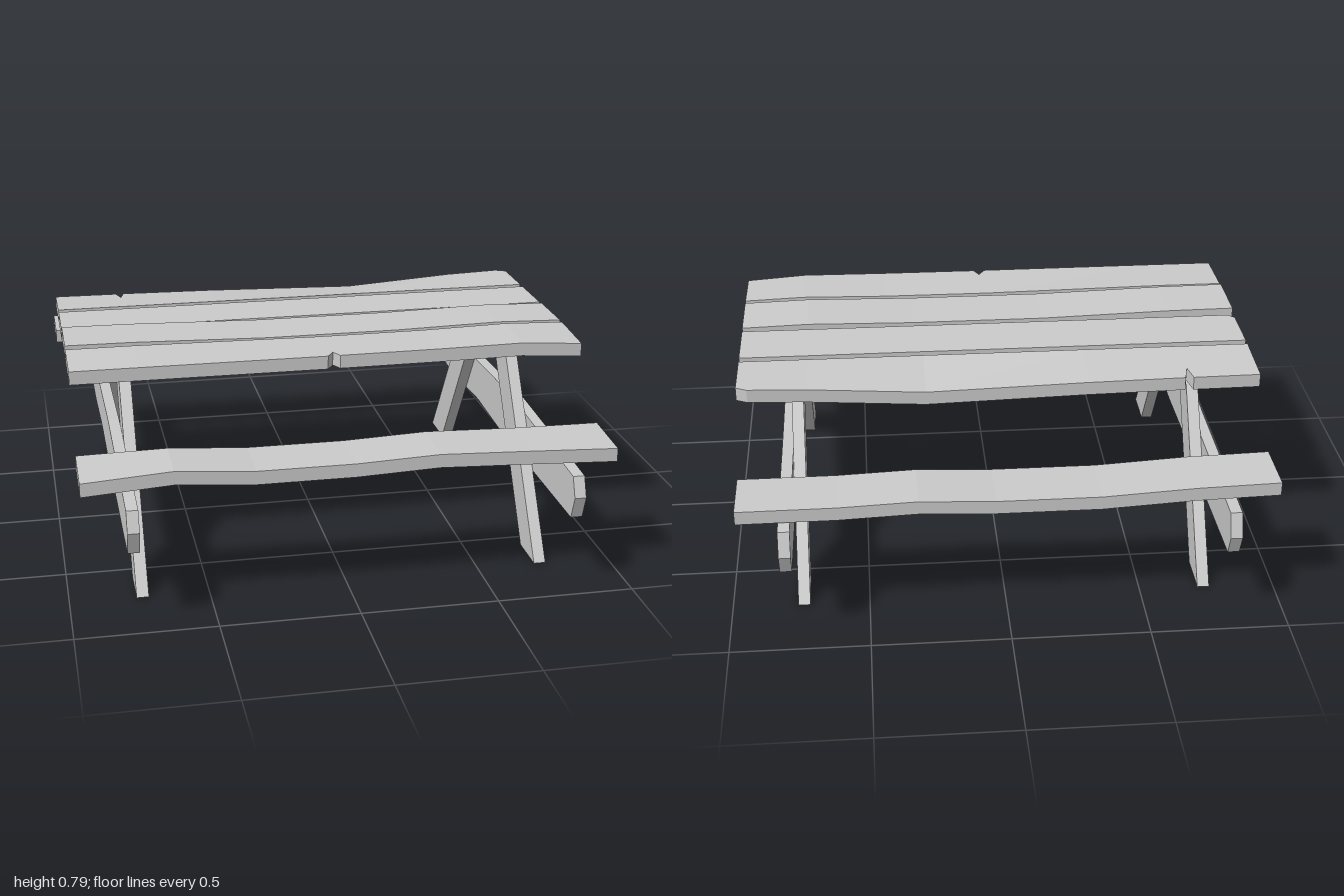
import * as THREE from 'three';

const material = new THREE.MeshStandardMaterial({ color: 0xcccccc, flatShading: true });

function addMesh(group, geometry, name) {
  const mesh = new THREE.Mesh(geometry, material);
  mesh.name = name;
  group.add(mesh);
  return mesh;
}

// Warped plank lofted along x through rectangular stations.
// Station: [x, bottom y at front, bottom y at back, front edge cut, back edge cut]
function plank(zBack, zFront, thickness, stations) {
  const at = (zCut, yf, yb) => yb + (yf - yb) * (zCut - zBack) / (zFront - zBack);
  const rings = stations.map(([x, yf, yb, cutF = 0, cutB = 0]) => {
    const zf = zFront - cutF, zb = zBack + cutB;
    const f = at(zf, yf, yb), b = at(zb, yf, yb);
    return [[x, f, zf], [x, f + thickness, zf], [x, b + thickness, zb], [x, b, zb]];
  });
  const pos = [];
  const quad = (a, b, c, d) => [a, b, c, a, c, d].forEach((p) => pos.push(...p));
  for (let i = 0; i < rings.length - 1; i++) {
    const r = rings[i], s = rings[i + 1];
    for (let k = 0; k < 4; k++) {
      const n = (k + 1) % 4;
      quad(r[k], s[k], s[n], r[n]);
    }
  }
  const first = rings[0], last = rings[rings.length - 1];
  quad(first[3], first[0], first[1], first[2]);
  quad(last[0], last[3], last[2], last[1]);
  const geometry = new THREE.BufferGeometry();
  geometry.setAttribute('position', new THREE.Float32BufferAttribute(pos, 3));
  geometry.computeVertexNormals();
  return geometry;
}

// Board cut from a side outline of [z, y] points, running from x0 to x0 + width
function sideBoard(points, x0, width) {
  const shape = new THREE.Shape(points.map(([z, y]) => new THREE.Vector2(-z, y)));
  const geometry = new THREE.ExtrudeGeometry(shape, { depth: width, bevelEnabled: false });
  geometry.rotateY(Math.PI / 2);
  return geometry.translate(x0, 0, 0);
}

export function createModel() {
  const group = new THREE.Group();
  group.name = 'picnicTable';

  // Table top, back to front; the outer planks have a split in the edge
  const top = new THREE.Group();
  top.name = 'tableTop';
  group.add(top);
  addMesh(top, plank(-0.5, -0.275, 0.05, [
    [-0.95, 0.725, 0.712], [-0.705, 0.725, 0.71], [-0.69, 0.725, 0.71, 0, 0.065],
    [-0.675, 0.725, 0.71], [-0.32, 0.725, 0.705], [0.27, 0.725, 0.69],
    [0.7, 0.725, 0.718], [0.91, 0.725, 0.725], [0.95, 0.725, 0.725, 0, 0.02],
  ]), 'tablePlankBack');
  addMesh(top, plank(-0.245, -0.022, 0.05, [
    [-0.95, 0.725, 0.725, 0.025], [-0.925, 0.725, 0.725], [0.95, 0.725, 0.725],
  ]), 'tablePlankMiddleBack');
  addMesh(top, plank(0.002, 0.227, 0.05, [
    [-0.95, 0.742, 0.742], [-0.7, 0.74, 0.74], [-0.2, 0.727, 0.727],
    [0.3, 0.727, 0.727], [0.7, 0.735, 0.735], [0.95, 0.728, 0.728],
  ]), 'tablePlankMiddleFront');
  addMesh(top, plank(0.25, 0.475, 0.05, [
    [-0.95, 0.727, 0.735], [-0.7, 0.727, 0.735], [-0.015, 0.726, 0.727],
    [0.01, 0.726, 0.727, 0.04], [0.03, 0.726, 0.727], [0.4, 0.727, 0.728],
    [0.72, 0.73, 0.735], [0.95, 0.714, 0.727],
  ]), 'tablePlankFront');

  // Benches
  addMesh(group, plank(0.68, 0.9, 0.05, [
    [-0.95, 0.477, 0.49], [-0.63, 0.498, 0.495], [-0.35, 0.476, 0.476], [0, 0.476, 0.476],
    [0.3, 0.488, 0.488], [0.63, 0.475, 0.478], [0.95, 0.461, 0.475],
  ]), 'benchFront');
  addMesh(group, plank(-0.917, -0.7, 0.05, [
    [-0.95, 0.503, 0.503], [-0.65, 0.495, 0.495], [-0.32, 0.476, 0.476],
    [0.05, 0.476, 0.476], [0.32, 0.488, 0.488], [0.6, 0.477, 0.477], [0.95, 0.476, 0.476],
  ]), 'benchBack');

  // Cross beams with pointed ends, and splayed legs on their inner faces
  const beam = [
    [0.97, 0.29], [0.2, 0.29], [-0.2, 0.31], [-0.55, 0.29], [-0.97, 0.31], [-1, 0.385],
    [-0.97, 0.472], [-0.25, 0.47], [0.2, 0.485], [0.6, 0.467], [0.97, 0.447], [1, 0.375],
  ];
  const leg = [[0.735, 0], [0.57, 0], [0.093, 0.725], [0.25, 0.725]];
  for (const [side, sign] of [['Left', 1], ['Right', -1]]) {
    addMesh(group, sideBoard(beam, sign > 0 ? 0.762 : -0.804, 0.042), 'crossBeam' + side);
    for (const [end, dir] of [['Front', 1], ['Back', -1]]) {
      const outline = leg.map(([z, y]) => [z * dir, y]);
      addMesh(group, sideBoard(outline, sign > 0 ? 0.718 : -0.762, 0.044), 'leg' + end + side);
    }
  }
  return group;
}
